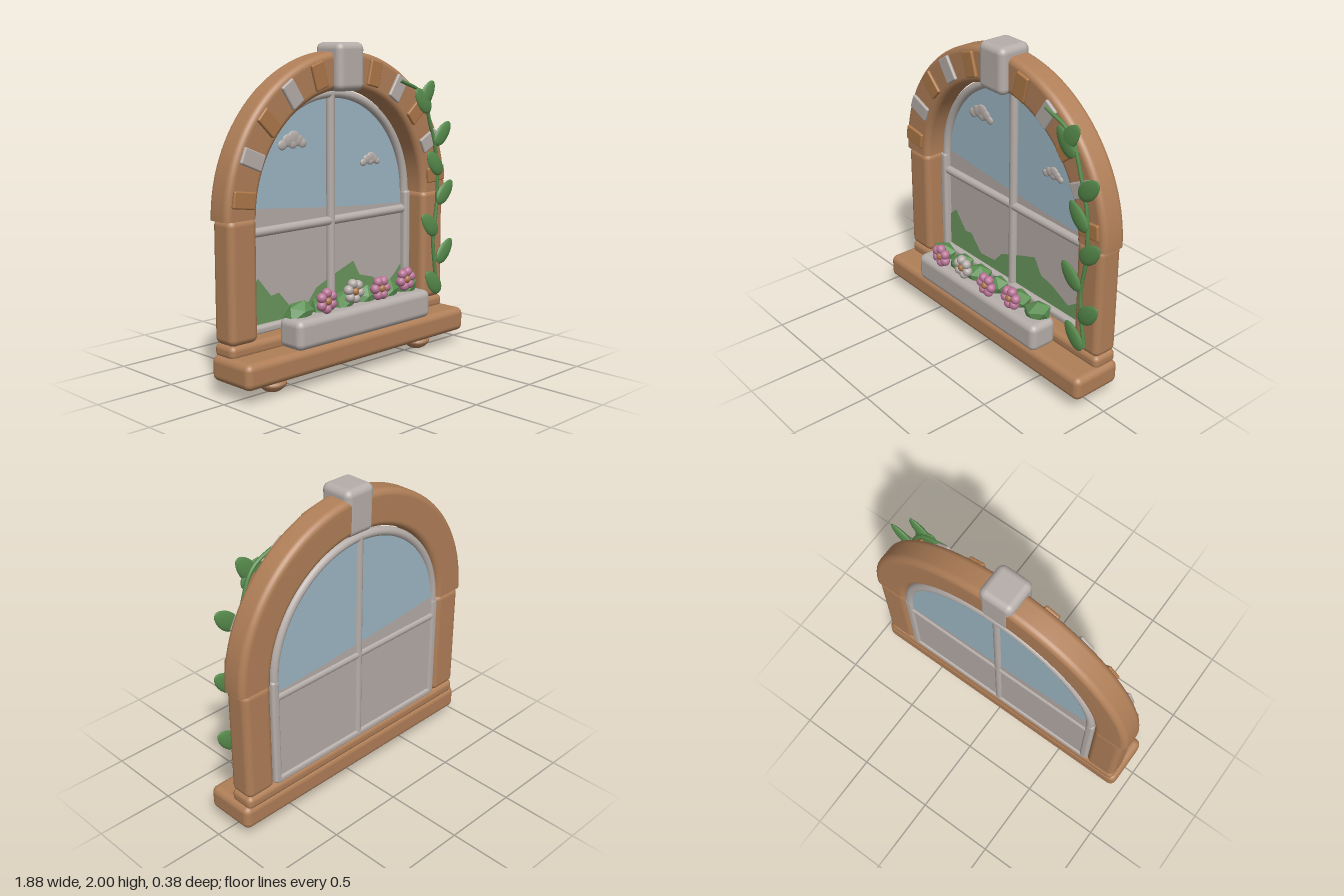
import * as THREE from 'three';
import { RoundedBoxGeometry } from 'three/addons/geometries/RoundedBoxGeometry.js';

const CX = -0.012; // window axis
const SPRING = 1.02; // height where the arch starts
const FRAME_Z = -0.16;
const GLASS_Z = -0.172;

function mat(name, color, extra = {}) {
  const m = new THREE.MeshStandardMaterial({ color, ...extra });
  m.name = name;
  return m;
}

export function createModel() {
  const root = new THREE.Group();
  root.name = 'archedWindow';
  const wood = mat('wood', 0xb07f58);
  const brick = mat('brick', 0xad7848);
  const stone = mat('stone', 0xb6aeaa);
  const sky = mat('sky', 0x9db7c4, { side: THREE.DoubleSide });
  const ground = mat('ground', 0xb5aba6, { side: THREE.DoubleSide });
  const hill = mat('hill', 0x6a975e, { side: THREE.DoubleSide });
  const leaf = mat('leaf', 0x578b4c);
  const bush = mat('bush', 0x5d9153, { flatShading: true });
  const pink = mat('pink', 0xba7597);

  function add(name, geo, material, x = 0, y = 0, z = 0, parent = root) {
    const m = new THREE.Mesh(geo, material);
    m.name = name;
    m.position.set(x, y, z);
    parent.add(m);
    return m;
  }
  // Rounded box given by its limits on each axis
  function block(name, material, [x0, x1], [y0, y1], [z0, z1], r) {
    const geo = new RoundedBoxGeometry(x1 - x0, y1 - y0, z1 - z0, 4, r);
    return add(name, geo, material, (x0 + x1) / 2, (y0 + y1) / 2, (z0 + z1) / 2);
  }
  const plate = (pts) => new THREE.ShapeGeometry(new THREE.Shape(pts.map(([x, y]) => new THREE.Vector2(x, y))));

  // Sill, pillars and keystone
  block('sill', wood, [-0.945, 0.925], [0.085, 0.24], [-0.186, 0.152], 0.042);
  block('upperSill', wood, [-0.92, 0.9], [0.22, 0.308], [-0.186, -0.018], 0.035);
  block('rightPillar', wood, [-0.92, -0.715], [0.3, 1.03], [-0.186, -0.017], 0.042);
  block('leftPillar', wood, [0.695, 0.898], [0.3, 1.03], [-0.186, -0.017], 0.042);
  block('keystone', stone, [-0.12, 0.1], [1.71, 2], [-0.188, 0.035], 0.042);

  // Feet
  const footProfile = [[0, 0], [0.04, 0], [0.055, 0.008], [0.084, 0.036], [0.084, 0.054], [0.055, 0.085], [0, 0.09]];
  for (const x of [-0.64, 0.617]) {
    add('foot', new THREE.LatheGeometry(footProfile.map(([r, y]) => new THREE.Vector2(r, y)), 16), wood, x, 0, 0);
  }

  // Arch: rounded section swept through half a turn, with flat ends
  const section = [];
  const corners = [[0.742, -0.146, 2], [0.891, -0.146, 3], [0.891, -0.056, 0], [0.742, -0.056, 1]];
  for (const [r, h, quarter] of corners) {
    for (let i = 0; i <= 6; i++) {
      const a = (quarter + i / 6) * Math.PI / 2;
      section.push(new THREE.Vector2(r + 0.04 * Math.cos(a), h + 0.04 * Math.sin(a)));
    }
  }
  const archGeo = new THREE.LatheGeometry([...section, section[0]], 64, Math.PI / 2, Math.PI);
  add('arch', archGeo, wood, CX, SPRING, 0).rotation.x = Math.PI / 2;
  for (const s of [-1, 1]) {
    const end = plate(section.map((p) => [s * p.x, p.y]));
    add('archEnd', end, wood, CX, SPRING, 0).rotation.x = Math.PI / 2;
  }

  // Stones set round the arch, alternating in colour
  for (let i = 0; i < 11; i++) {
    if (i === 5) continue;
    const a = Math.PI - (i + 0.5) * Math.PI / 11;
    const material = [1, 3, 7, 9].includes(i) ? stone : brick;
    const b = add('archStone', new RoundedBoxGeometry(0.16, 0.1, 0.024, 2, 0.01), material,
      CX + 0.82 * Math.cos(a), SPRING + 0.82 * Math.sin(a), -0.008);
    b.rotation.z = a + 0.05 * Math.sin(i * 2.3);
  }

  // Window frame and glazing bars
  add('frameArch', new THREE.TorusGeometry(0.671, 0.028, 12, 64, Math.PI), stone, CX, SPRING, FRAME_Z);
  for (const s of [-1, 1]) {
    const x = CX + s * 0.677;
    block('frameJamb', stone, [x - 0.028, x + 0.028], [0.31, 1.03], [-0.188, -0.125], 0.02);
  }
  block('frameBottom', stone, [-0.7, 0.68], [0.3, 0.352], [-0.188, -0.125], 0.02);
  add('mullion', new THREE.CylinderGeometry(0.028, 0.028, 1.38, 16), stone, CX, 1.01, FRAME_Z);
  const bar = add('crossBar', new THREE.CapsuleGeometry(0.028, 1.31, 6, 16), stone, CX, 0.907, FRAME_Z);
  bar.rotation.z = Math.PI / 2;

  // Painted panes: sky, ground on both faces, hills in front
  const skyPts = [[0.67, 0.85]];
  for (let i = 0; i <= 40; i++) {
    const a = i / 40 * Math.PI;
    skyPts.push([CX + 0.671 * Math.cos(a), SPRING + 0.671 * Math.sin(a)]);
  }
  skyPts.push([-0.69, 0.85]);
  add('skyPane', plate(skyPts), sky, 0, 0, GLASS_Z);
  const groundPts = [[-0.69, 0.32], [0.67, 0.32], [0.67, 0.945], [0.3, 0.965], [-0.25, 1.01], [-0.69, 1.055]];
  for (const dz of [-0.003, 0.003]) add('groundPane', plate(groundPts), ground, 0, 0, GLASS_Z + dz);
  add('hills', plate([[-0.67, 0.33], [0.65, 0.33], [0.65, 0.55], [0.57, 0.47], [0.5, 0.42], [0.36, 0.49], [0.25, 0.52],
    [0.19, 0.62], [0.02, 0.56], [-0.13, 0.5], [-0.2, 0.42], [-0.34, 0.41], [-0.44, 0.52], [-0.5, 0.51], [-0.6, 0.63],
    [-0.67, 0.57]]), hill, 0, 0, GLASS_Z + 0.008);

  // Clouds: flattened puffs
  const puffs = [[-0.078, -0.025, 0.036], [-0.035, 0.0, 0.045], [0.01, 0.012, 0.052], [0.045, -0.005, 0.042],
    [0.082, -0.025, 0.032], [0.005, -0.022, 0.035]];
  for (const [x, y, s] of [[-0.325, 1.428, 1], [0.338, 1.262, 0.77]]) {
    const cloud = new THREE.Group();
    cloud.name = 'cloud';
    cloud.position.set(x, y, GLASS_Z + 0.012);
    cloud.scale.set(s, s, 1);
    root.add(cloud);
    for (const [px, py, r] of puffs) {
      add('puff', new THREE.SphereGeometry(1, 14, 10), stone, px, py, 0, cloud).scale.set(r, r * 0.85, 0.011);
    }
  }

  // Planter with bushes
  block('planter', stone, [-0.58, 0.56], [0.245, 0.425], [-0.015, 0.176], 0.042);
  [-0.47, -0.28, -0.11, 0.07, 0.27, 0.45].forEach((x, i) => {
    const b = add('bush', new THREE.IcosahedronGeometry(0.105, 0), bush, x, 0.435, 0.045);
    b.scale.set(1, 0.75, 0.72);
    b.rotation.set(0.2, 0.15 * (i % 3), 0.3 + 0.2 * (i % 2));
  });

  // Flowers
  const flowers = [[-0.35, 0.51, pink], [-0.125, 0.53, stone], [0.105, 0.51, pink], [0.335, 0.53, pink]];
  flowers.forEach(([x, y, material], k) => {
    const f = new THREE.Group();
    f.name = 'flower';
    f.position.set(x, y, 0.157);
    f.rotation.z = Math.PI / 6 + k * 0.25;
    root.add(f);
    for (let i = 0; i < 6; i++) {
      const a = i / 6 * Math.PI * 2;
      add('petal', new THREE.SphereGeometry(0.031, 12, 8), material, 0.047 * Math.cos(a), 0.047 * Math.sin(a), 0, f);
    }
    add('flowerCentre', new THREE.SphereGeometry(0.026, 12, 8), brick, 0, 0, 0.008, f);
  });

  // Climbing vine: stem and leaves (x, y, tilt in degrees)
  const stem = new THREE.CatmullRomCurve3([[0.44, 1.76], [0.64, 1.67], [0.735, 1.45], [0.79, 1.26], [0.805, 0.97],
    [0.77, 0.71], [0.785, 0.55], [0.815, 0.36]].map(([x, y]) => new THREE.Vector3(x, y, 0.004)));
  add('vineStem', new THREE.TubeGeometry(stem, 48, 0.012, 8), leaf);
  const leafGeo = new THREE.SphereGeometry(1, 14, 10);
  leafGeo.rotateZ(-Math.PI / 2);
  const pos = leafGeo.attributes.position;
  for (let i = 0; i < pos.count; i++) { // taper towards the tip
    const t = 1 - 0.15 * pos.getX(i);
    pos.setXYZ(i, pos.getX(i) * 0.1, pos.getY(i) * t * 0.055, pos.getZ(i) * t * 0.018);
  }
  leafGeo.computeVertexNormals();
  const leaves = [[0.668, 1.668, 52], [0.63, 1.625, 130], [0.825, 1.405, 43], [0.75, 1.215, 132], [0.855, 1.015, 43],
    [0.707, 0.812, 135], [0.86, 0.618, 45], [0.75, 0.42, 132]];
  for (const [x, y, tilt] of leaves) {
    add('vineLeaf', leafGeo, leaf, x, y, 0.028).rotation.z = THREE.MathUtils.degToRad(tilt);
  }
  return root;
}
